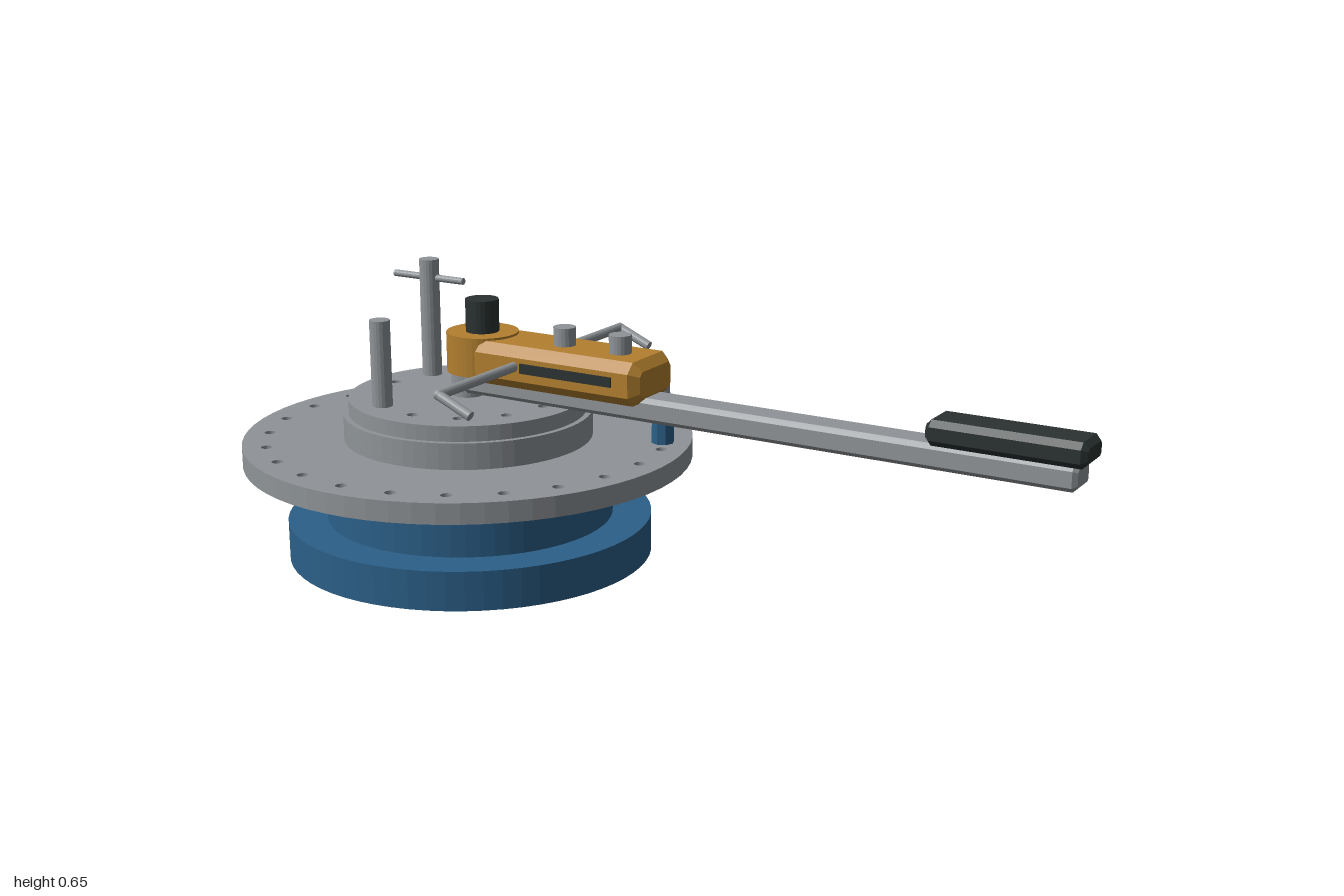
import * as THREE from 'three';

const mat = (name, color) => {
  const m = new THREE.MeshStandardMaterial({ color, flatShading: true });
  m.name = name;
  return m;
};

export function createModel() {
  const steel = mat('steel grey', 0x8f9498);
  const blue = mat('blue', 0x2b5f88);
  const gold = mat('ochre', 0xb27f2f);
  const black = mat('black', 0x2a3231);
  const root = new THREE.Group();
  root.name = 'rotaryTable';
  const cx = -0.485; // table axis

  const add = (name, geo, material, parent = root) => {
    const mesh = new THREE.Mesh(geo, material);
    mesh.name = name;
    parent.add(mesh);
    return mesh;
  };
  // upright cylinder from y0 to y1
  const post = (name, x, z, r, y0, y1, material, sides = 20, rTop = r) => {
    const m = add(name, new THREE.CylinderGeometry(rTop, r, y1 - y0, sides), material);
    m.position.set(x, (y0 + y1) / 2, z);
    return m;
  };
  // round rod between two points
  const rod = (name, a, b, r, material) => {
    const p = new THREE.Vector3(...a), q = new THREE.Vector3(...b);
    const dir = q.clone().sub(p);
    const m = add(name, new THREE.CylinderGeometry(r, r, dir.length(), 16), material);
    m.position.copy(p).add(q).multiplyScalar(0.5);
    m.quaternion.setFromUnitVectors(new THREE.Vector3(0, 1, 0), dir.normalize());
    return m;
  };
  // flat disc pierced by a ring of holes
  const piercedDisc = (name, r, y0, y1, count, ringR, holeR, material) => {
    const shape = new THREE.Shape().absarc(0, 0, r, 0, Math.PI * 2);
    for (let i = 0; i < count; i++) {
      const a = (i / count) * Math.PI * 2;
      shape.holes.push(new THREE.Path().absarc(Math.cos(a) * ringR, Math.sin(a) * ringR, holeR, 0, Math.PI * 2, true));
    }
    const geo = new THREE.ExtrudeGeometry(shape, { depth: y1 - y0, bevelEnabled: false, curveSegments: 32 });
    geo.rotateX(-Math.PI / 2);
    add(name, geo, material).position.set(cx, y0, 0);
  };
  // box along x with every edge chamfered by c
  const chamferBox = (name, x0, x1, y0, y1, w, c, material) => {
    const h = (y1 - y0) / 2;
    const pts = [[w, h - c], [w - c, h], [c - w, h], [-w, h - c], [-w, c - h], [c - w, -h], [w - c, -h], [w, c - h]];
    const shape = new THREE.Shape(pts.map(([u, v]) => new THREE.Vector2(u, v)));
    const b = c * 0.9;
    const geo = new THREE.ExtrudeGeometry(shape, {
      depth: x1 - x0 - 2 * b, bevelThickness: b, bevelSize: b, bevelOffset: -b, bevelSegments: 1,
    });
    geo.translate(0, 0, b);
    geo.rotateY(Math.PI / 2);
    add(name, geo, material).position.set(x0, (y0 + y1) / 2, 0);
  };

  // stepped base
  post('baseFoot', cx, 0, 0.42, 0, 0.09, blue, 64);
  post('baseDrum', cx, 0, 0.33, 0.09, 0.23, blue, 64);

  // turntable and raised hub
  piercedDisc('turntable', 0.515, 0.228, 0.275, 24, 0.46, 0.013, steel);
  post('hubLower', cx, 0, 0.285, 0.275, 0.335, steel, 64);
  piercedDisc('hubUpper', 0.272, 0.335, 0.37, 12, 0.208, 0.013, steel);

  // pins standing in the hub, the taller with a cross bar
  post('tallPin', -0.665, -0.104, 0.023, 0.36, 0.648, steel);
  rod('tallPinBar', [-0.765, 0.604, -0.104], [-0.567, 0.604, -0.104], 0.008, steel);
  post('shortPin', -0.589, 0.182, 0.023, 0.36, 0.567, steel);

  // blue index stop on the turntable
  const [sx, sz] = [-0.067, -0.17];
  post('stopBody', sx, sz, 0.026, 0.275, 0.376, blue, 8);
  post('stopShoulder', sx, sz, 0.026, 0.376, 0.39, blue, 8, 0.017);
  post('stopPin', sx, sz, 0.016, 0.385, 0.437, steel);

  // lever bar and its grip
  post('pivotShaft', cx, 0, 0.037, 0.37, 0.45, steel, 24);
  chamferBox('leverBar', -0.475, 0.975, 0.382, 0.436, 0.04, 0.01, steel);
  chamferBox('grip', 0.66, 0.995, 0.433, 0.487, 0.05, 0.013, black);

  // clamp head with knob and bolts
  post('headRound', -0.44, 0, 0.082, 0.434, 0.524, gold, 40);
  chamferBox('headBody', -0.42, 0.015, 0.422, 0.519, 0.084, 0.022, gold);
  post('knob', -0.44, 0, 0.038, 0.51, 0.598, black, 24);
  for (const x of [-0.218, -0.074]) post('headBolt', x, 0, 0.025, 0.5, 0.56, steel);

  // side slots and cranked cross handle
  for (const s of [1, -1]) {
    const slot = add('headSlot', new THREE.BoxGeometry(0.235, 0.022, 0.006), black);
    slot.position.set(-0.163, 0.475, s * 0.085);
    const elbow = [-0.298, 0.476, s * 0.358];
    rod('handleRod', [-0.298, 0.476, 0], elbow, 0.011, steel);
    rod('handleCrank', elbow, [-0.217, 0.441, s * 0.358], 0.011, steel);
    add('handleElbow', new THREE.SphereGeometry(0.0115, 14, 10), steel).position.set(...elbow);
  }
  return root;
}
